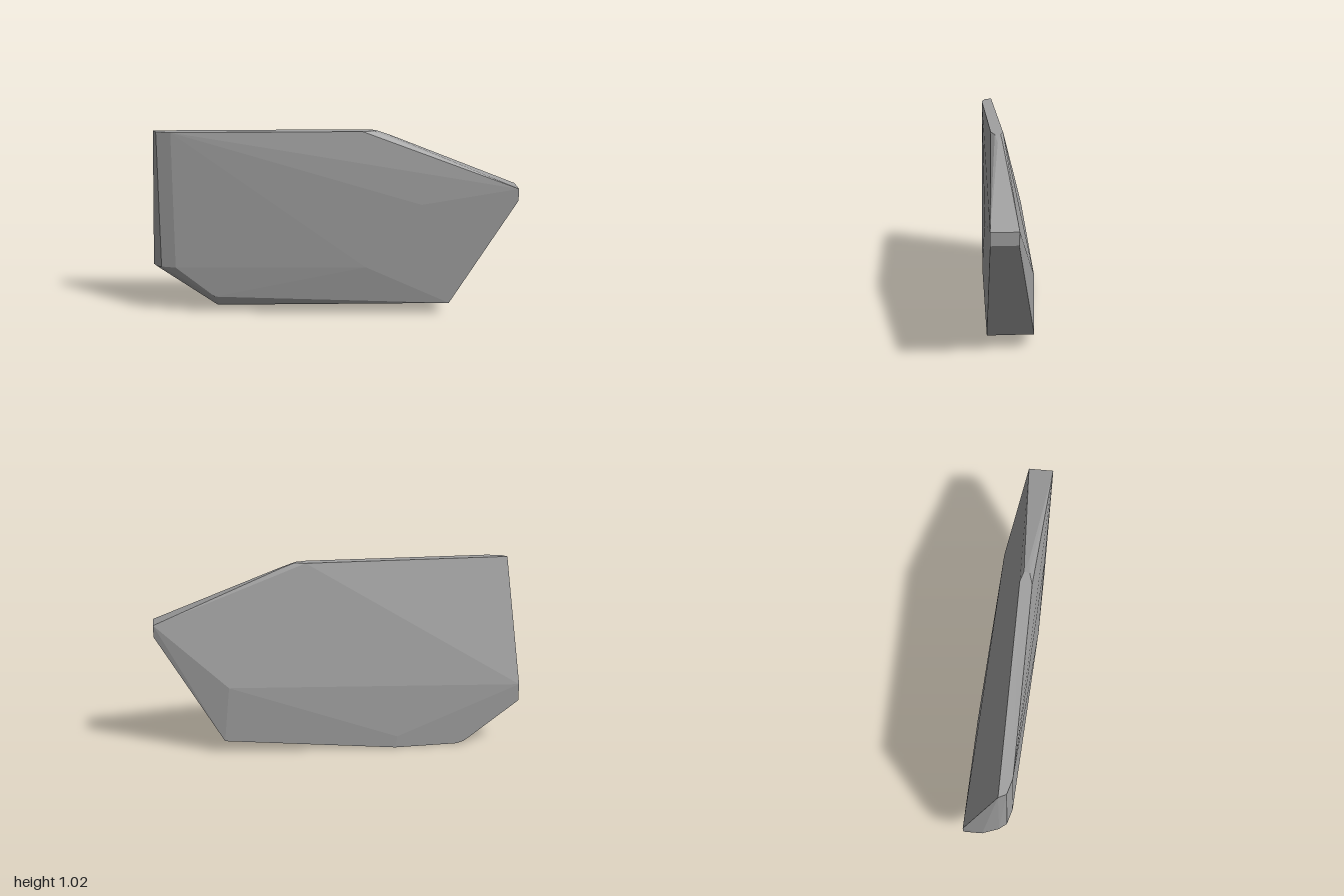
import * as THREE from 'three';
import { ConvexGeometry } from 'three/addons/geometries/ConvexGeometry.js';

// Faceted slab: the convex skin around a few corner groups
export function createModel() {
  const group = new THREE.Group();
  group.name = 'stoneSlab';
  const grey = new THREE.MeshStandardMaterial({ color: 0xa0a0a0 });
  grey.name = 'stone grey';

  const T = 1.022, F = 0.153, B = -0.153;
  const corners = [
    // narrow top edge, rounded at both ends
    [-0.96, T, 0.04], [-0.94, T, 0.08], [-0.86, T, 0.103],
    [0.16, T, 0.103], [0.22, T, 0.085], [0.23, T, 0.055], [0.17, T, 0.038],
    [0.31, 0.994, 0.05], [0.31, 0.994, 0.075],
    // right tip
    [1, 0.715, F], [1, 0.65, F], [1, 0.715, 0.015], [1, 0.65, 0.018],
    // lower right corner and back ridge
    [0.64, 0.07, F], [0.64, 0.07, -0.088], [0.61, 0.375, -0.088],
    // bulge of the front face
    [0.48, 0.63, F], [0.18, 0.28, F],
    // back foot
    [-1, 0.335, B], [-1, 0.24, B], [-0.72, 0.035, B], [-0.69, 0.015, B],
    [-0.65, 0.003, B], [-0.3, 0, B], [-0.31, 0.065, B],
    // rounded left end
    [-1, 0.245, -0.05], [-0.995, 0.31, -0.04], [-0.97, 0.26, 0.04],
    [-0.94, 0.27, 0.08], [-0.86, 0.27, 0.103],
    // rounded lower front edge
    [-0.65, 0.1, 0.103], [-0.63, 0.055, 0.08], [-0.64, 0.03, 0.04],
    [-0.64, 0.014, -0.02], [-0.64, 0.004, -0.1],
  ];
  const slab = new THREE.Mesh(
    new ConvexGeometry(corners.map((p) => new THREE.Vector3(...p))), grey);
  slab.name = 'slab';
  group.add(slab);
  return group;
}
